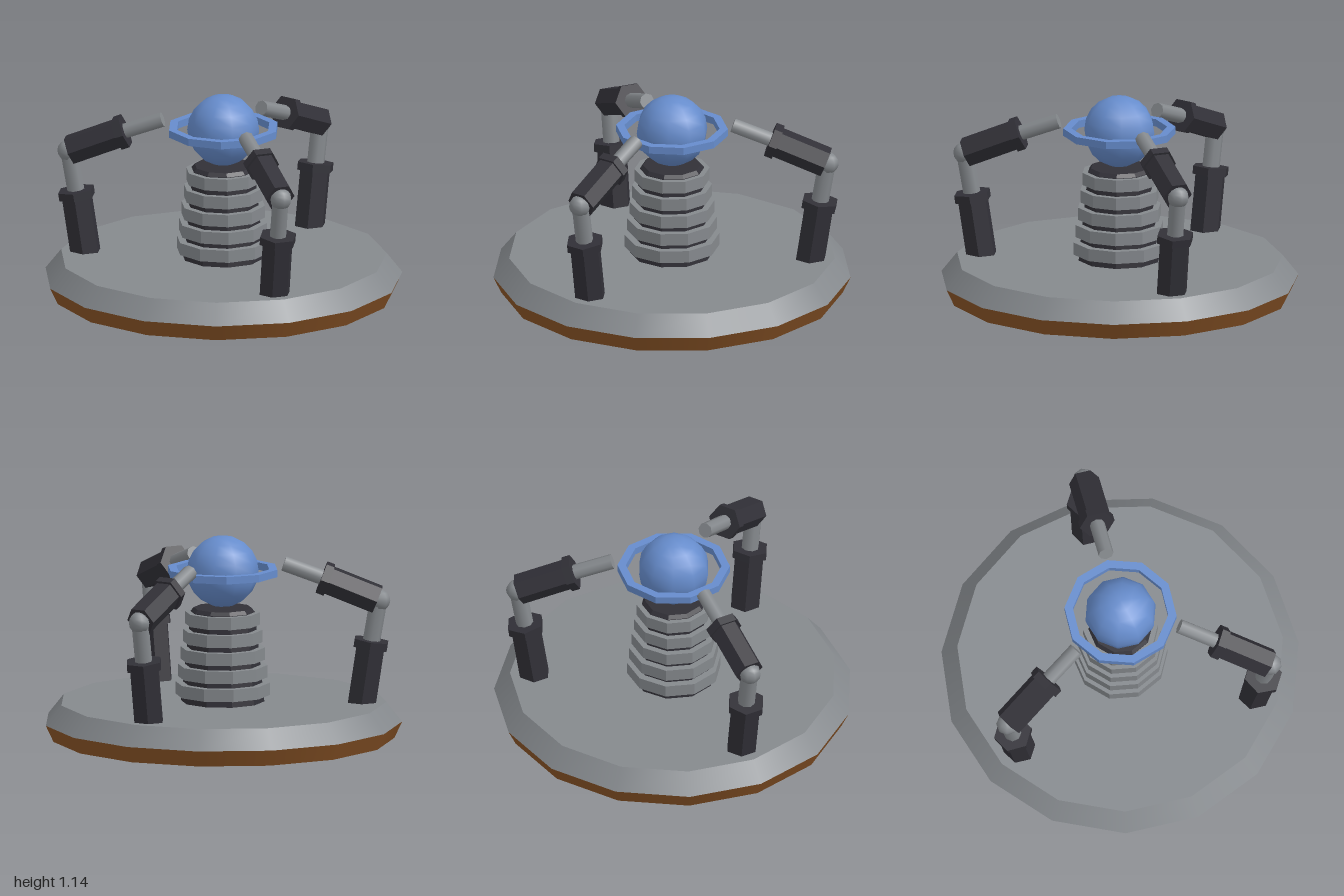
import * as THREE from 'three';

const colour = (name, hex) => {
  const m = new THREE.MeshStandardMaterial({ color: hex });
  m.name = name;
  return m;
};

// Split the faces so that each one is shaded flat
function faceted(geometry) {
  const g = geometry.toNonIndexed();
  g.computeVertexNormals();
  return g;
}

export function createModel() {
  const grey = colour('steel grey', 0x85898d);
  const dark = colour('charcoal', 0x313037);
  const brown = colour('copper brown', 0x8a5426);
  const black = colour('underside black', 0x242426);
  const blue = colour('orb blue', 0x668ccc);

  const model = new THREE.Group();
  model.name = 'orbPedestal';
  const body = new THREE.Group();
  body.name = 'body';
  body.position.x = -0.011;
  model.add(body);

  function add(parent, name, geometry, material, y = 0, turn = 0) {
    const mesh = new THREE.Mesh(geometry, material);
    mesh.name = name;
    mesh.position.y = y;
    mesh.rotation.y = turn;
    parent.add(mesh);
    return mesh;
  }

  // Fifteen-sided base: copper foot below a bevelled grey deck
  const quarter = Math.PI / 2;
  add(body, 'baseFoot', new THREE.CylinderGeometry(1.0055, 0.962, 0.093, 15),
    [brown, brown, black], 0.0465, quarter);
  add(body, 'baseDeck', new THREE.CylinderGeometry(0.917, 1.0055, 0.112, 15), grey, 0.149, quarter);

  // Tapering column with five stacked discs
  const twist = quarter + Math.PI / 20;
  add(body, 'columnCore', faceted(new THREE.CylinderGeometry(0.18, 0.235, 0.515, 10)), dark, 0.4575, twist);
  add(body, 'columnTop', faceted(new THREE.CylinderGeometry(0.163, 0.18, 0.02, 10)), dark, 0.725, twist);
  for (let i = 0; i < 5; i++) {
    const r = 0.265 - i * 0.0135;
    add(body, 'columnDisc' + (i + 1), faceted(new THREE.CylinderGeometry(r, r, 0.07, 10)),
      grey, 0.277 + i * 0.1, twist);
  }

  // Orb and the ring around it
  add(body, 'orb', new THREE.SphereGeometry(0.202, 10, 10), blue, 0.942, quarter);
  const section = [[0.268, -0.021], [0.315, -0.021], [0.315, 0.021], [0.268, 0.021], [0.268, -0.021]]
    .map(([x, y]) => new THREE.Vector2(x, y));
  add(body, 'orbRing', faceted(new THREE.LatheGeometry(section, 10)), blue, 0.942, quarter);

  // Cylinder running between two points of the arm's plane
  function rod(parent, name, a, b, radius, sides, material) {
    const from = new THREE.Vector3(a[0], a[1], 0);
    const to = new THREE.Vector3(b[0], b[1], 0);
    const dir = to.clone().sub(from);
    let g = new THREE.CylinderGeometry(radius, radius, dir.length(), sides);
    if (sides === 6) g = faceted(g);
    const mesh = add(parent, name, g, material);
    mesh.position.copy(from).add(to).multiplyScalar(0.5);
    mesh.quaternion.setFromUnitVectors(new THREE.Vector3(0, 1, 0), dir.normalize());
  }

  // Three jointed arms reaching in towards the orb
  for (let i = 0; i < 3; i++) {
    const arm = new THREE.Group();
    arm.name = 'arm' + (i + 1);
    arm.rotation.y = i * Math.PI * 2 / 3;
    body.add(arm);
    rod(arm, 'lowerSleeve', [0.779, 0.19], [0.83, 0.53], 0.09, 6, dark);
    rod(arm, 'lowerCollar', [0.827, 0.512], [0.834, 0.557], 0.108, 6, dark);
    rod(arm, 'lowerRod', [0.83, 0.53], [0.874, 0.785], 0.049, 8, grey);
    const joint = add(arm, 'elbow', new THREE.SphereGeometry(0.062, 8, 8), grey, 0.782);
    joint.position.x = 0.877;
    rod(arm, 'upperSleeve', [0.868, 0.787], [0.575, 0.904], 0.086, 6, dark);
    rod(arm, 'upperCollar', [0.598, 0.895], [0.554, 0.912], 0.1, 6, dark);
    rod(arm, 'upperRod', [0.575, 0.904], [0.343, 0.988], 0.043, 8, grey);
  }
  return model;
}
